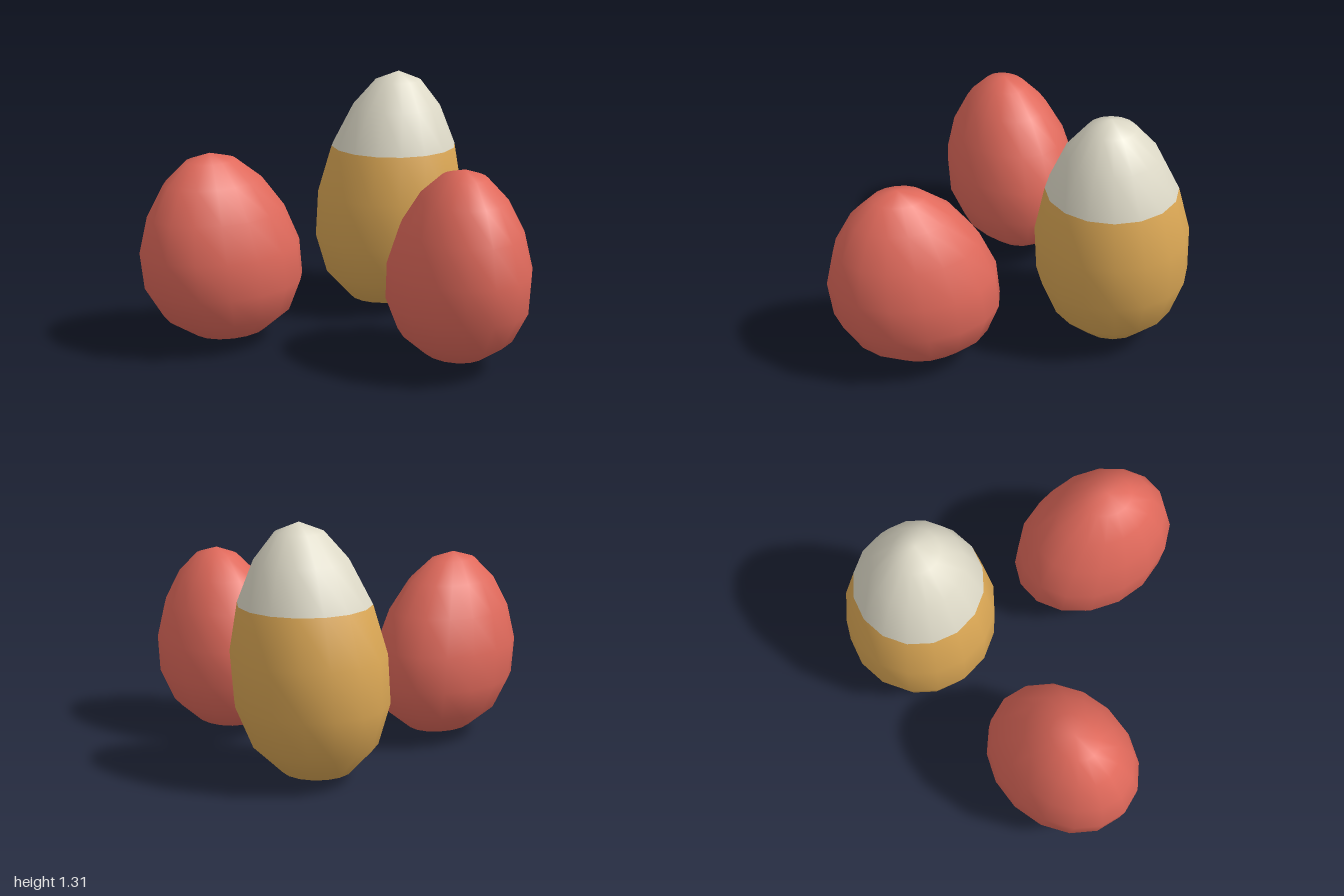
import * as THREE from 'three';
import { mergeVertices } from 'three/addons/utils/BufferGeometryUtils.js';

const SIDES = 16, RINGS = 8, TAPER = 0.2;

// Egg: a sphere that narrows towards the top and leans along its local +x.
function eggGeometry(halfHeight, radiusX, radiusZ, lean) {
  let geo = new THREE.SphereGeometry(1, SIDES, RINGS);
  geo.deleteAttribute('uv');
  geo.deleteAttribute('normal');
  geo = mergeVertices(geo, 1e-5);
  const p = geo.attributes.position;
  for (let i = 0; i < p.count; i++) {
    const y = p.getY(i);
    const k = 1 - TAPER * y;
    p.setXYZ(i, p.getX(i) * radiusX * k + lean * y, y * halfHeight, p.getZ(i) * radiusZ * k);
  }
  geo.computeVertexNormals();
  return geo;
}

export function createModel() {
  const red = new THREE.MeshStandardMaterial({ color: 0xe0695b });
  red.name = 'red';
  const gold = new THREE.MeshStandardMaterial({ color: 0xdca855 });
  gold.name = 'gold';
  const cream = new THREE.MeshStandardMaterial({ color: 0xdedac8 });
  cream.name = 'cream';

  const model = new THREE.Group();
  model.name = 'eggs';

  // Tall rear egg: the top three bands are cream, the rest gold
  const tall = eggGeometry(0.655, 0.395, 0.395, 0.045);
  const capCount = 3 * (SIDES + 2 * SIDES * 2);
  tall.clearGroups();
  tall.addGroup(0, capCount, 0);
  tall.addGroup(capCount, tall.index.count - capCount, 1);
  const rearEgg = new THREE.Mesh(tall, [cream, gold]);
  rearEgg.name = 'rearEgg';
  rearEgg.position.set(0.045, 0.66, -0.43);
  model.add(rearEgg);

  // Pair of flattened front eggs, turned and leaning outwards
  const small = eggGeometry(0.4925, 0.431, 0.341, 0.052);
  const turn = THREE.MathUtils.degToRad(54);
  for (const side of [1, -1]) {
    const egg = new THREE.Mesh(small, red);
    egg.name = side > 0 ? 'leftEgg' : 'rightEgg';
    egg.position.set(side * 0.62, 0.5225, 0.425);
    egg.rotation.y = side > 0 ? -turn : turn - Math.PI;
    model.add(egg);
  }
  return model;
}
